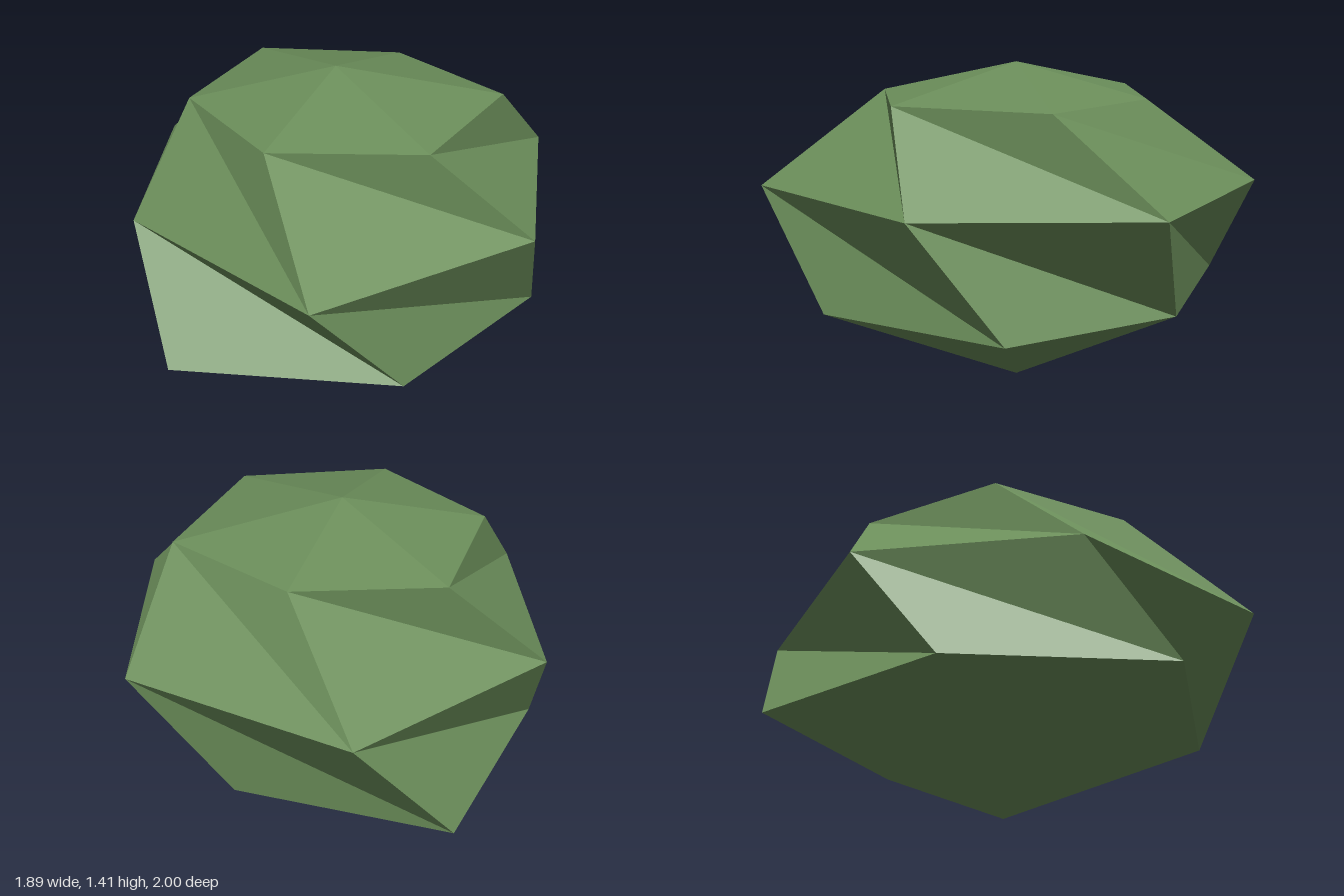
import * as THREE from 'three';

// Closed faceted surface through equal-sized rings, listed from top to bottom.
// Each ring runs counter-clockwise as seen from below; quads split towards the next lower corner.
function facetedShell(topY, rings, bottomY) {
  const positions = [];
  const tri = (...corners) => corners.forEach((c) => positions.push(...c));
  const count = rings[0].points.length;
  const corner = (r, i) => {
    const [x, z] = rings[r].points[i % count];
    return [x, rings[r].y, z];
  };
  const last = rings.length - 1;

  for (let i = 0; i < count; i++) {
    // Crown and underside fans
    tri([0, topY, 0], corner(0, i), corner(0, i + 1));
    tri(corner(last, i), [0, bottomY, 0], corner(last, i + 1));
    // Twisted bands between the rings
    for (let r = 0; r < last; r++) {
      tri(corner(r, i), corner(r + 1, i), corner(r + 1, i + 1));
      tri(corner(r, i), corner(r + 1, i + 1), corner(r, i + 1));
    }
  }

  const geometry = new THREE.BufferGeometry();
  geometry.setAttribute('position', new THREE.Float32BufferAttribute(positions, 3));
  geometry.computeVertexNormals();
  return geometry;
}

export function createModel() {
  const group = new THREE.Group();
  group.name = 'bush';

  const leafGreen = new THREE.MeshStandardMaterial({ color: 0x6b8e5a, flatShading: true });
  leafGreen.name = 'leafGreen';

  // Irregular six-sided rings as [x, z]
  const rings = [
    { y: 1.27, points: [[-0.65, -0.11], [-0.39, 0.48], [0.24, 0.57], [0.67, 0.09], [0.44, -0.56], [-0.2, -0.55]] },
    { y: 0.88, points: [[-0.92, 0.22], [-0.25, 0.88], [0.78, 0.79], [0.94, -0.25], [0.28, -1], [-0.73, -0.77]] },
    { y: 0.39, points: [[-0.68, 0.5], [0.13, 1], [0.83, 0.35], [0.7, -0.54], [-0.1, -0.79], [-0.95, -0.41]] },
  ];

  const foliage = new THREE.Mesh(facetedShell(1.41, rings, 0), leafGreen);
  foliage.name = 'foliage';
  group.add(foliage);
  return group;
}
